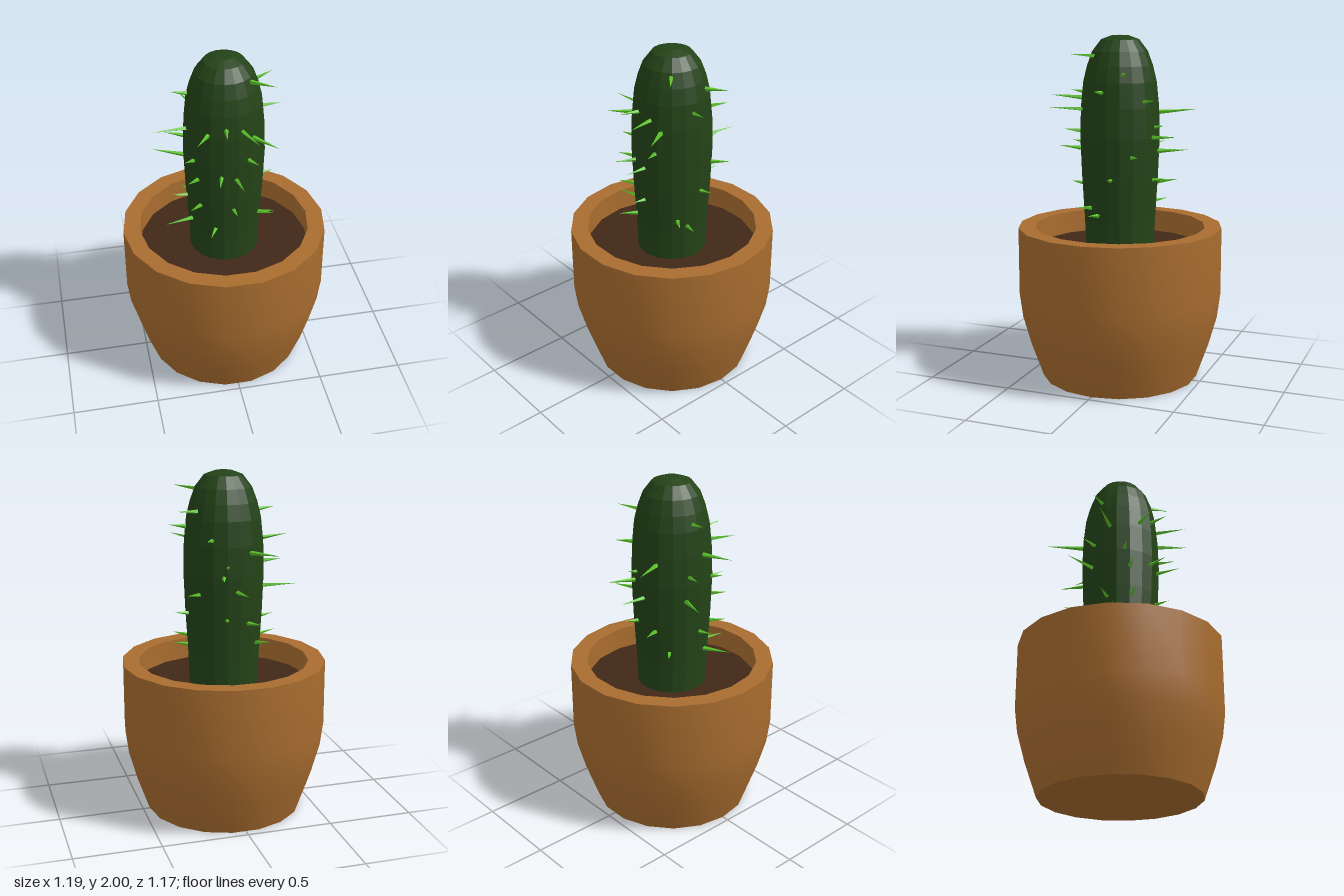
import * as THREE from 'three';
import { toCreasedNormals } from 'three/addons/utils/BufferGeometryUtils.js';

const SIDES = 18;

// Lathe with a corner on the x axis
function lathe(points) {
  return new THREE.LatheGeometry(points.map(([r, y]) => new THREE.Vector2(r, y)), SIDES, Math.PI / 2);
}

// Cactus radius by height
const BODY = [
  [0.2, 0.76], [0.207, 0.95], [0.222, 1.2], [0.231, 1.43], [0.226, 1.6],
  [0.212, 1.74], [0.19, 1.83], [0.16, 1.91], [0.11, 1.975], [0.05, 1.997], [0, 2],
];

function bodyRadius(y) {
  const i = Math.max(1, BODY.findIndex((p) => p[1] >= y));
  const [r0, y0] = BODY[i - 1];
  const [r1, y1] = BODY[i];
  return r0 + (r1 - r0) * (y - y0) / (y1 - y0);
}

// Spine tips, one ring around the body: x, height, z
const TIPS = [
  [-0.2, 1.575, -0.4], [-0.03, 1.36, -0.4], [0.105, 1.445, -0.375], [-0.135, 1.17, -0.31],
  [0.06, 1.2, -0.3], [0.05, 1.5, -0.28], [0.17, 1.65, -0.27], [-0.22, 1.04, -0.22],
  [0.27, 1.34, -0.205], [0.305, 1.8, -0.145], [-0.39, 1.36, -0.15], [-0.32, 1.5, -0.095],
  [-0.29, 1.79, -0.035], [-0.31, 1.15, 0.025], [-0.41, 1.61, 0.07], [-0.36, 1.02, 0.125],
  [-0.25, 1.45, 0.16], [-0.24, 1.335, 0.2], [-0.23, 1.16, 0.21], [-0.2, 1.64, 0.3],
  [-0.13, 1.01, 0.29], [-0.085, 1.38, 0.335], [-0.045, 1.68, 0.325], [0.02, 1.15, 0.3],
  [0.045, 1.36, 0.365], [0.115, 1.66, 0.38], [0.14, 1.47, 0.29], [0.235, 1.6, 0.345],
  [0.24, 1.9, 0.215], [0.265, 1.04, 0.165], [0.29, 1, 0.085], [0.31, 1.7, 0.04],
  [0.3, 1.21, -0.035],
];

export function createModel() {
  const model = new THREE.Group();
  const add = (name, geometry, material, parent = model) => {
    const mesh = new THREE.Mesh(geometry, material);
    mesh.name = name;
    parent.add(mesh);
    return mesh;
  };
  const clay = new THREE.MeshStandardMaterial({ color: 0xa96d2f });
  const earth = new THREE.MeshStandardMaterial({ color: 0x402817 });
  const skin = new THREE.MeshStandardMaterial({ color: 0x234317, flatShading: true });
  const thorn = new THREE.MeshStandardMaterial({ color: 0x5cc52a, flatShading: true });

  // Pot: closed base, flared wall, flat rim and inner wall
  const pot = lathe([
    [0, 0], [0.46, 0], [0.53, 0.2], [0.577, 0.37], [0.595, 0.51],
    [0.595, 0.9], [0.497, 0.9], [0.497, 0.72],
  ]);
  add('pot', toCreasedNormals(pot, 0.6), clay);

  // Soil disc, set below the rim
  const soil = new THREE.CircleGeometry(0.497, SIDES).rotateX(-Math.PI / 2).translate(0, 0.768, 0);
  add('soil', soil, earth);

  // Cactus body
  add('cactusBody', lathe(BODY), skin);

  // Spines: thin cones from just inside the skin to each tip
  const spines = new THREE.Group();
  spines.name = 'spines';
  model.add(spines);
  const up = new THREE.Vector3(0, 1, 0);
  for (const [x, y, z] of TIPS) {
    const tip = new THREE.Vector3(x, y, z);
    const baseY = y - 0.015;
    const inset = 0.9 * bodyRadius(baseY) / Math.hypot(x, z);
    const base = new THREE.Vector3(x * inset, baseY, z * inset);
    const dir = tip.clone().sub(base);
    const length = dir.length();
    const cone = new THREE.ConeGeometry(0.015, length, 4).translate(0, length / 2, 0);
    const spine = add('spine', cone, thorn, spines);
    spine.position.copy(base);
    spine.quaternion.setFromUnitVectors(up, dir.normalize());
  }
  return model;
}
